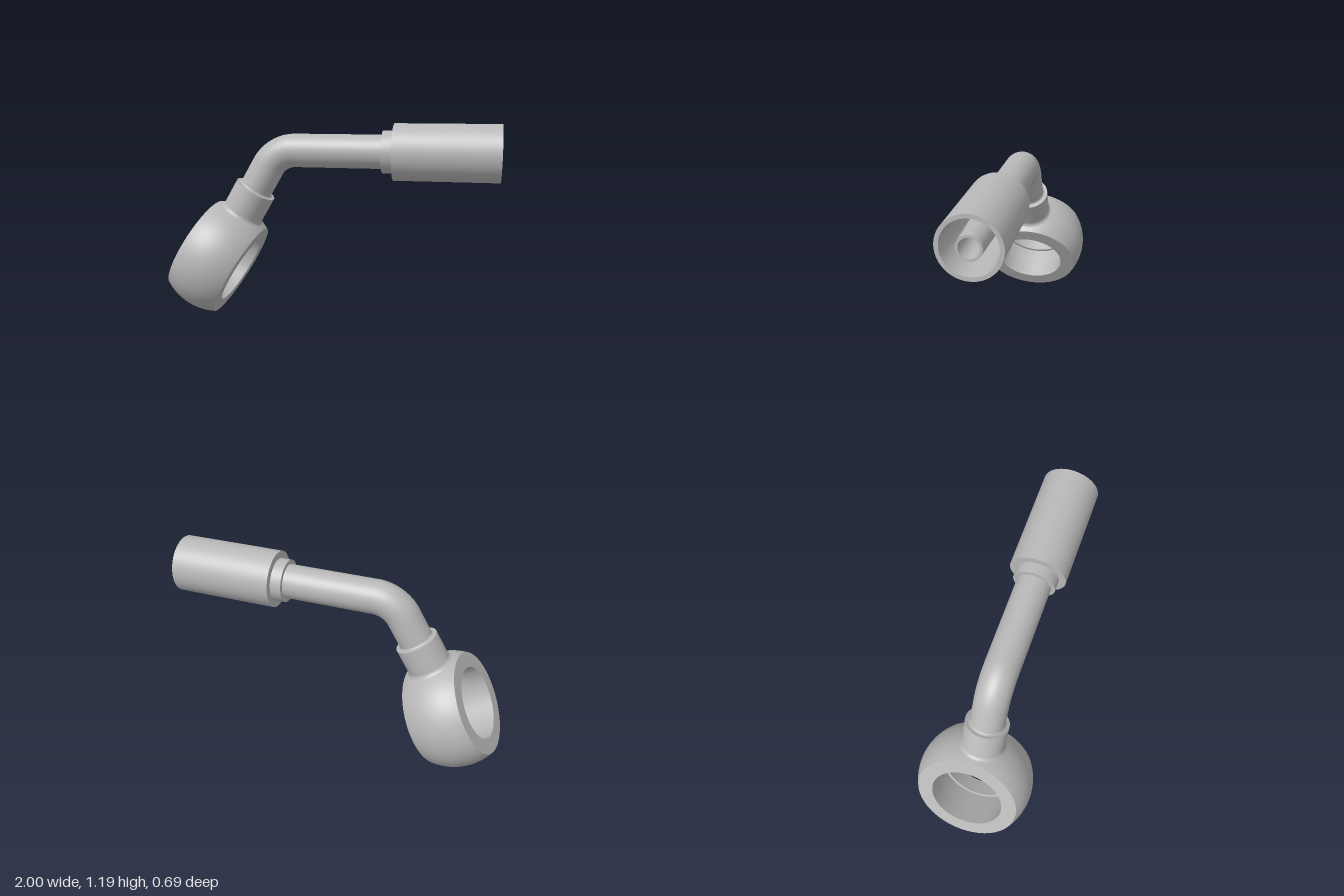
import * as THREE from 'three';
import { mergeGeometries } from 'three/addons/utils/BufferGeometryUtils.js';

const STEEL = new THREE.MeshStandardMaterial({ color: 0xb8b8b8 });
STEEL.name = 'steel';

// Points [radius, height] along an arc of a profile
function arc(cx, cy, r, a0, a1, n) {
  return Array.from({ length: n + 1 }, (_, i) => {
    const a = a0 + (a1 - a0) * i / n;
    return [cx + r * Math.cos(a), cy + r * Math.sin(a)];
  });
}

// Each straight pair of points becomes its own run, so edges stay sharp
const sharp = (pts) => pts.slice(1).map((p, i) => [pts[i], p]);

// Turned part: smooth runs revolved about an axis through origin
function turned(name, runs, origin, axis) {
  const geo = mergeGeometries(runs.map((run) =>
    new THREE.LatheGeometry(run.map(([r, h]) => new THREE.Vector2(r, h)), 72)));
  const mesh = new THREE.Mesh(geo, STEEL);
  mesh.name = name;
  mesh.position.copy(origin);
  mesh.quaternion.setFromUnitVectors(new THREE.Vector3(0, 1, 0), axis);
  return mesh;
}

export function createModel() {
  const group = new THREE.Group();
  group.name = 'hoseFitting';

  const c = Math.cos(Math.PI / 6);
  const ringCentre = new THREE.Vector3(-0.705, 0.3475, 0);
  const legAxis = new THREE.Vector3(0.5, c, 0);
  const ringAxis = new THREE.Vector3(c, -0.5, 0);
  const xAxis = new THREE.Vector3(1, 0, 0);
  const pipeY = 1.02, pipeR = 0.1, bendR = 0.2;

  // Spherical ring with flat faces and a grooved bore
  const R = 0.347, half = 0.167, a = Math.asin(half / R);
  const faceR = R * Math.cos(a), bore = 0.215, groove = 0.232, g = 0.065;
  group.add(turned('banjoRing', [
    arc(0, 0, R, -a, a, 24),
    ...sharp([[faceR, half], [bore, half], [bore, g], [groove, g],
      [groove, -g], [bore, -g], [bore, -half], [faceR, -half]]),
  ], ringCentre, ringAxis));

  // Neck, filleted onto the ring, with a small fillet up to the pipe
  const neckR = 0.127, f = 0.03, fx = neckR + f;
  const fy = Math.sqrt((R + f) ** 2 - fx ** 2);
  group.add(turned('neck', [
    [...arc(fx, fy, f, Math.atan2(-fy, -fx), -Math.PI, 10), [neckR, 0.5]],
    [[neckR, 0.5], [0.113, 0.5]],
    arc(0.113, 0.513, 0.013, -Math.PI / 2, -Math.PI, 6),
  ], ringCentre, legAxis));

  // Pipe: sloping leg, 60 degree bend, straight run
  const t = (pipeY - ringCentre.y) / c;
  const cornerX = ringCentre.x + t * 0.5;
  const tangent = bendR * Math.tan(Math.PI / 6);
  group.add(turned('pipeLeg', [[[pipeR, 0.45], [pipeR, t - tangent]]], ringCentre, legAxis));

  const bend = new THREE.Mesh(new THREE.TorusGeometry(bendR, pipeR, 72, 32, Math.PI / 3), STEEL);
  bend.name = 'pipeBend';
  bend.position.set(cornerX + tangent, pipeY - bendR, 0);
  bend.rotation.z = Math.PI / 2;
  group.add(bend);

  const pipeOrigin = new THREE.Vector3(0, pipeY, 0);
  group.add(turned('pipeRun', [[[pipeR, cornerX + tangent], [pipeR, 0.33]]], pipeOrigin, xAxis));

  // Crimp ferrule with its shoulder and tapered recess
  group.add(turned('ferrule', sharp([
    [pipeR, 0.325], [0.125, 0.325], [0.125, 0.39], [0.167, 0.39],
    [0.167, 1], [0.145, 1], [0.127, 0.5], [0.08, 0.5],
  ]), pipeOrigin, xAxis));

  // Hose nipple with a blind bore
  group.add(turned('nipple', sharp([
    [0.08, 0.5], [0.066, 1], [0.053, 1], [0.053, 0.45], [0, 0.42],
  ]), pipeOrigin, xAxis));

  return group;
}
